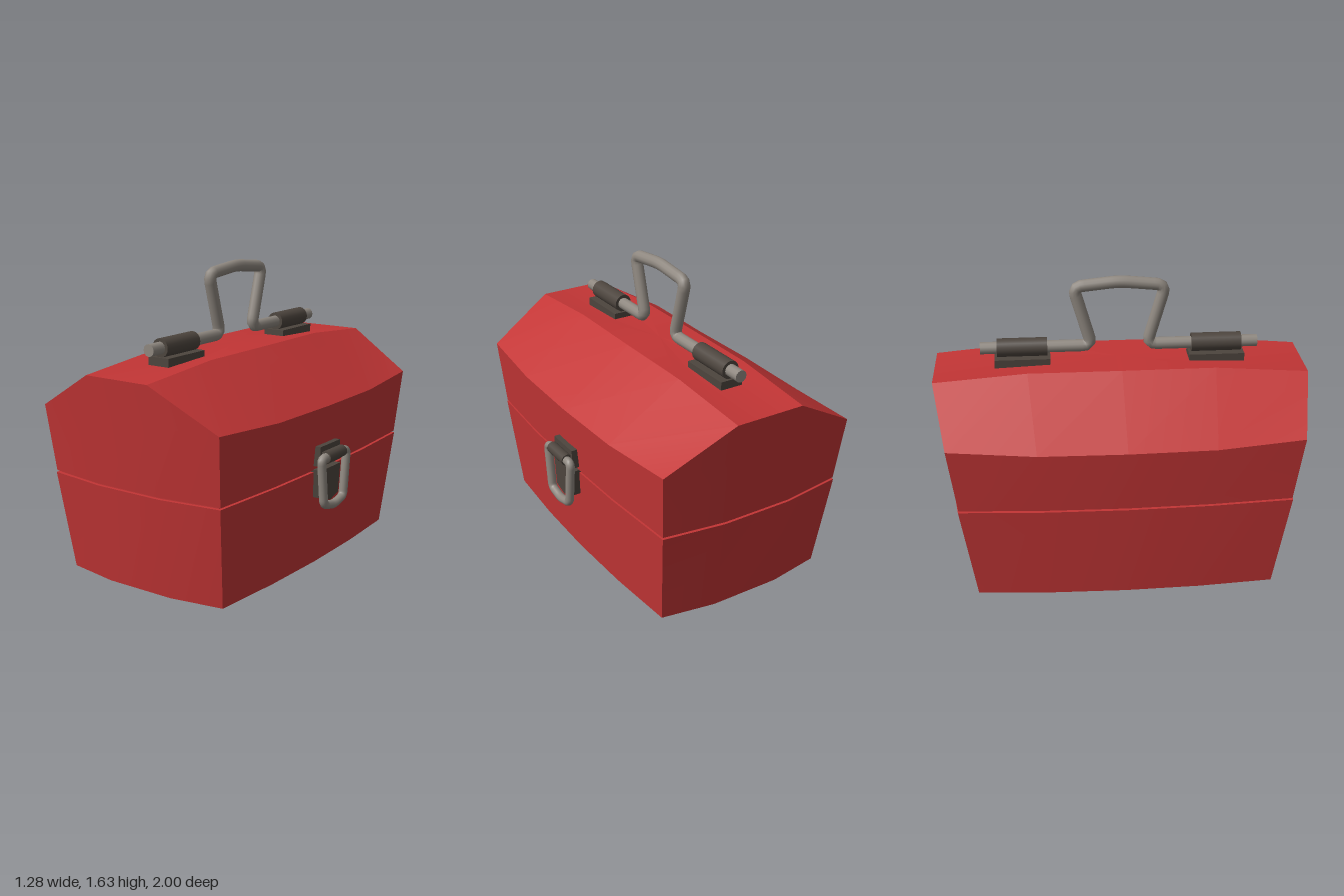
import * as THREE from 'three';
import { toCreasedNormals } from 'three/addons/utils/BufferGeometryUtils.js';

const CX = -0.035; // centre line of the box
const red = new THREE.MeshStandardMaterial({ color: 0xc23535 });
red.name = 'red paint';
const dark = new THREE.MeshStandardMaterial({ color: 0x4d453e });
dark.name = 'dark metal';
const steel = new THREE.MeshStandardMaterial({ color: 0x8f8880 });
steel.name = 'steel';

function add(parent, name, geometry, material, x = 0, y = 0, z = 0) {
  const mesh = new THREE.Mesh(geometry, material);
  mesh.name = name;
  mesh.position.set(x, y, z);
  parent.add(mesh);
  return mesh;
}

// One bulging outline, counterclockwise from above.
// x, z: corner; mx: half width mid side; ez, ex: end bulge; y at corner, my mid side
function ring({ y, my = y, x, mx, z, ez, ex = 0.2 }) {
  const side = [1, 0.5, 0, -0.5, -1].map((s) => new THREE.Vector3(
    x + (mx - x) * (1 - s * s),
    y + (my - y) * Math.min(1, 2 * (1 - Math.abs(s))),
    z * s));
  const half = [...side, new THREE.Vector3(ex, y, -ez), new THREE.Vector3(-ex, y, -ez)];
  const back = side.map((p) => new THREE.Vector3(-p.x, p.y, -p.z));
  return [...half, ...back, new THREE.Vector3(-ex, y, ez), new THREE.Vector3(ex, y, ez)];
}

// Closed shell through the rings, from bottom to top
function loft(levels) {
  const rings = levels.map(ring);
  const pos = [];
  const tri = (a, b, c) => {
    if (new THREE.Triangle(a, b, c).getArea() > 1e-6) {
      for (const p of [a, b, c]) pos.push(p.x, p.y, p.z);
    }
  };
  const n = rings[0].length;
  const first = rings[0], last = rings[rings.length - 1];
  const low = new THREE.Vector3(0, levels[0].y, 0);
  const end = levels[levels.length - 1];
  const high = new THREE.Vector3(0, end.my ?? end.y, 0);
  for (let i = 0; i < n; i++) {
    const j = (i + 1) % n;
    for (let k = 0; k + 1 < rings.length; k++) {
      const a = rings[k], b = rings[k + 1];
      tri(a[i], a[j], b[j]);
      tri(a[i], b[j], b[i]);
    }
    tri(low, first[j], first[i]);
    tri(high, last[i], last[j]);
  }
  const geo = new THREE.BufferGeometry();
  geo.setAttribute('position', new THREE.Float32BufferAttribute(pos, 3));
  geo.computeVertexNormals();
  return toCreasedNormals(geo, 0.35);
}

// Bent rod in the z-y plane with rounded corners
function rod(points, bend, radius, closed = false) {
  const pts = points.map(([z, y]) => new THREE.Vector3(0, y, z));
  const n = pts.length;
  const path = new THREE.CurvePath();
  const toward = (a, b) => a.clone().add(b.clone().sub(a).setLength(bend));
  let from = closed ? toward(pts[0], pts[1]) : pts[0];
  for (let i = 1; i < (closed ? n + 1 : n - 1); i++) {
    const p = pts[i % n];
    const start = toward(p, pts[i - 1]);
    const stop = toward(p, pts[(i + 1) % n]);
    path.add(new THREE.LineCurve3(from, start));
    path.add(new THREE.QuadraticBezierCurve3(start, p, stop));
    from = stop;
  }
  if (!closed) path.add(new THREE.LineCurve3(from, pts[n - 1]));
  return new THREE.TubeGeometry(path, 100, radius, 12, closed);
}

function barrel(radius, length) {
  return new THREE.CylinderGeometry(radius, radius, length, 16).rotateX(Math.PI / 2);
}

export function createModel() {
  const model = new THREE.Group();
  model.name = 'toolbox';

  // Lower box, seam filler and peaked lid
  add(model, 'base', loft([
    { y: 0, x: 0.497, mx: 0.535, z: 0.808, ez: 0.858 },
    { y: 0.545, x: 0.542, mx: 0.58, z: 0.885, ez: 0.933 },
  ]), red, CX);
  add(model, 'seam', loft([
    { y: 0.53, x: 0.525, mx: 0.562, z: 0.868, ez: 0.915 },
    { y: 0.57, x: 0.525, mx: 0.562, z: 0.868, ez: 0.915 },
  ]), red, CX);
  add(model, 'lid', loft([
    { y: 0.555, x: 0.54, mx: 0.578, z: 0.882, ez: 0.93 },
    { y: 0.92, my: 0.895, x: 0.567, mx: 0.608, z: 0.925, ez: 0.973 },
    { y: 1.134, my: 1.175, x: 0.195, mx: 0.205, z: 1, ez: 1, ex: 0.195 },
  ]), red, CX);

  // Carrying handle
  const handle = new THREE.Group();
  handle.name = 'handle';
  handle.position.x = CX;
  model.add(handle);
  const leg = [[0.75, 1.24], [0.15, 1.24], [0.245, 1.575]];
  const mirrored = leg.map(([z, y]) => [-z, y]).reverse();
  add(handle, 'handleRod', rod([...leg, [0, 1.6], ...mirrored], 0.05, 0.033), steel);
  for (const s of [1, -1]) {
    const cap = add(handle, 'handleEnd', new THREE.CircleGeometry(0.033, 12), steel, 0, 1.24, s * 0.75);
    if (s < 0) cap.rotation.y = Math.PI;
    add(handle, 'handleBarrel', barrel(0.05, 0.27), dark, 0, 1.24, s * 0.525);
    add(handle, 'handlePlate', new THREE.BoxGeometry(0.13, 0.045, 0.3), dark, 0, 1.17, s * 0.525);
  }

  // Latch on the left side
  const latch = new THREE.Group();
  latch.name = 'latch';
  model.add(latch);
  add(latch, 'latchUpperPlate', new THREE.BoxGeometry(0.065, 0.11, 0.2), dark, 0.5525, 0.635);
  add(latch, 'latchBarrel', barrel(0.033, 0.17), dark, 0.607, 0.635);
  add(latch, 'latchLoop', rod(
    [[0.13, 0.635], [-0.13, 0.635], [-0.1, 0.375], [0, 0.353], [0.1, 0.375]],
    0.03, 0.024, true), steel, 0.61);
  const keeper = new THREE.Shape([[-0.1, 0.56], [-0.082, 0.4], [0, 0.375], [0.082, 0.4], [0.1, 0.56]]
    .map(([z, y]) => new THREE.Vector2(z, y)));
  add(latch, 'latchKeeper', new THREE.ExtrudeGeometry(keeper, { depth: 0.08, bevelEnabled: false })
    .rotateY(Math.PI / 2), dark, 0.51);

  return model;
}
